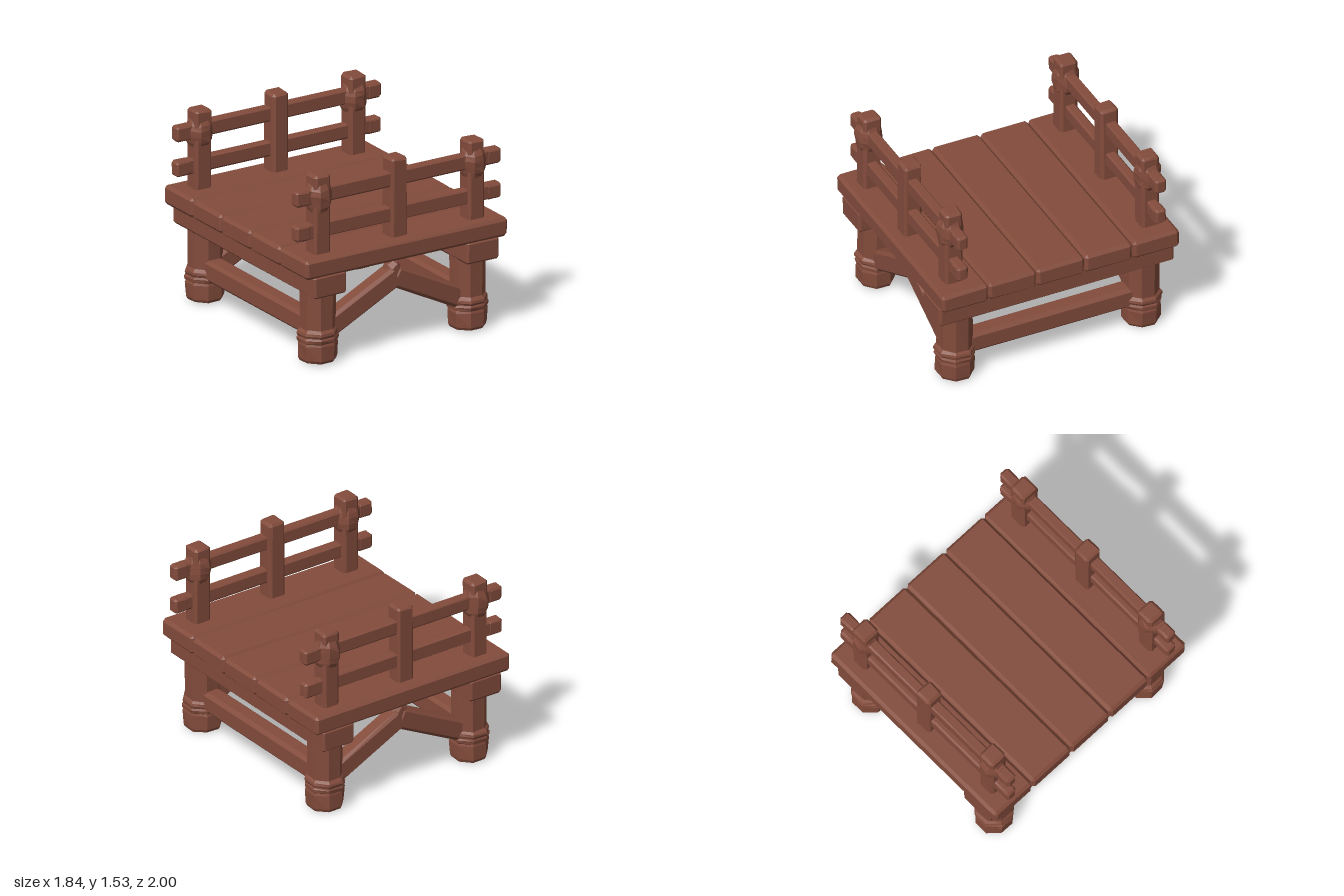
import * as THREE from 'three';
import { ConvexGeometry } from 'three/addons/geometries/ConvexGeometry.js';

const wood = new THREE.MeshStandardMaterial({ color: 0x834c3c });
wood.name = 'reddish brown wood';

// Small repeatable random offset in the range -a..a
let seed = 7;
function wobble(a) {
  seed = (seed * 16807) % 2147483647;
  return (seed / 2147483647 * 2 - 1) * a;
}

// Hand-hewn timber: a box with chamfered, slightly uneven corners
function timber(name, size, pos, chamfer = 0.02, rough = 0.004) {
  const half = size.map((s) => s / 2);
  const points = [];
  for (const sx of [-1, 1]) for (const sy of [-1, 1]) for (const sz of [-1, 1]) {
    const offset = [wobble(rough), wobble(rough), wobble(rough)];
    for (let axis = 0; axis < 3; axis++) {
      const p = [sx, sy, sz].map((s, i) =>
        s * (half[i] - (i === axis ? 0 : chamfer)) + (i === axis ? 0 : offset[i]));
      points.push(new THREE.Vector3(...p));
    }
  }
  const mesh = new THREE.Mesh(new ConvexGeometry(points), wood);
  mesh.name = name;
  mesh.position.set(...pos);
  return mesh;
}

// Faceted eight-sided turning; profile is [radius, y] from bottom to top
function faceted(name, profile, pos, rough) {
  const base = new THREE.LatheGeometry(profile.map(([r, y]) => new THREE.Vector2(r, y)), 8);
  base.rotateY(Math.PI / 8);
  const p = base.attributes.position;
  for (let i = 0; i < p.count; i++) {
    const x = p.getX(i), y = p.getY(i), z = p.getZ(i);
    if (Math.hypot(x, z) < 0.001) continue;
    const k = 1 + rough * Math.sin(x * 41 + z * 67 + y * 30 + pos[0] * 5 + pos[2] * 3);
    const dy = rough * 0.1 * Math.sin(x * 53 - z * 37 + pos[0] * 4);
    p.setXYZ(i, x * k, Math.max(0, y + dy), z * k);
  }
  const geometry = base.toNonIndexed();
  geometry.computeVertexNormals();
  const mesh = new THREE.Mesh(geometry, wood);
  mesh.name = name;
  mesh.position.set(...pos);
  return mesh;
}

export function createModel() {
  const model = new THREE.Group();
  model.name = 'woodenBridgeSection';

  // Deck planks
  for (let i = 0; i < 5; i++) {
    const outer = i === 0 || i === 4;
    const z = [-0.805, -0.405, 0, 0.405, 0.805][i];
    model.add(timber('deckPlank', [1.81, 0.155, outer ? 0.39 : 0.4],
      [-0.003, 0.823, z], 0.023, 0.004));
  }

  for (const sx of [-1, 1]) {
    // Long bearers under the deck and stretchers between the legs
    model.add(timber('bearerBeam', [0.295, 0.18, 1.98], [sx * 0.685, 0.668, 0], 0.018));
    model.add(timber('legStretcher', [0.15, 0.17, 1.5], [sx * 0.67, 0.27, 0], 0.025));

    for (const sz of [-1, 1]) {
      // Leg with heavy foot
      model.add(faceted('leg', [
        [0, 0.035], [0.075, 0.03], [0.09, 0.005], [0.138, 0.012], [0.15, 0.035],
        [0.153, 0.15], [0.143, 0.18], [0.138, 0.26], [0.138, 0.6],
      ], [sx * 0.672, 0, sz * 0.785], 0.025));
      // Rope binding round the leg
      model.add(faceted('legBinding', [
        [0.13, 0.155], [0.155, 0.175], [0.16, 0.2], [0.151, 0.215],
        [0.16, 0.235], [0.156, 0.255], [0.13, 0.285],
      ], [sx * 0.672, 0, sz * 0.785], 0.035));
    }
  }

  for (const sz of [-1, 1]) {
    // Sloping braces meeting in a peak
    for (const sx of [-1, 1]) {
      const brace = timber('brace', [0.7, 0.165, 0.14], [sx * 0.297, 0.405, sz * 0.785], 0.022);
      brace.rotation.z = -sx * 0.463;
      model.add(brace);
    }
    const peak = timber('bracePeak', [0.12, 0.13, 0.12], [-0.003, 0.605, sz * 0.785], 0.03, 0.01);
    peak.rotation.z = 0.6;
    model.add(peak);

    // Railing posts
    const railing = new THREE.Group();
    railing.name = 'railing';
    for (const x of [-0.697, -0.007, 0.687]) {
      railing.add(timber('railingPost', [0.145, 0.68, 0.148], [x, 1.19, sz * 0.828], 0.02, 0.006));
    }
    // Horizontal rails
    for (const y of [1.08, 1.36]) {
      railing.add(timber('handRail', [1.83, 0.118, 0.085], [0, y, sz * 0.835], 0.013, 0.005));
      for (const sx of [-1, 1]) {
        railing.add(timber('railEnd', [0.13, 0.124, 0.092], [sx * 0.855, y, sz * 0.835], 0.018, 0.004));
      }
    }
    // Bindings where the top rail crosses the corner posts
    for (const x of [-0.697, 0.687]) {
      railing.add(faceted('postBinding', [
        [0.08, 1.235], [0.096, 1.27], [0.103, 1.32],
        [0.106, 1.37], [0.1, 1.41], [0.078, 1.455],
      ], [x, 0, sz * 0.832], 0.05));
    }
    model.add(railing);
  }

  return model;
}
